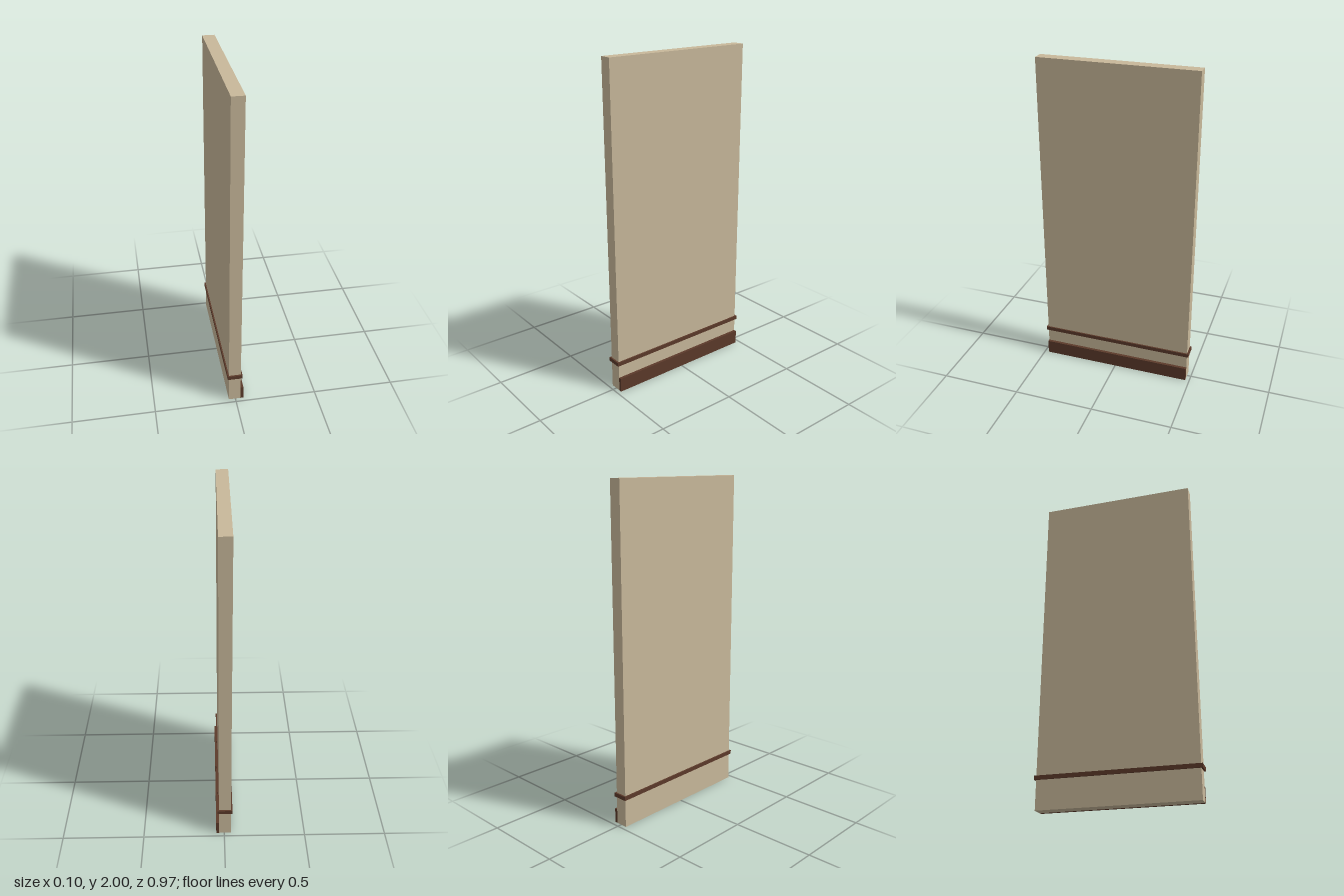
import * as THREE from 'three';

export function createModel() {
  const model = new THREE.Group();
  model.name = 'wallPanel';

  const plaster = new THREE.MeshStandardMaterial({ color: 0xc8b89a });
  plaster.name = 'beige plaster';
  const wood = new THREE.MeshStandardMaterial({ color: 0x5c3a2a });
  wood.name = 'dark brown wood';

  // Box given by its x and y limits and its half depth in z
  function block(name, material, x0, x1, y0, y1, halfZ) {
    const mesh = new THREE.Mesh(new THREE.BoxGeometry(x1 - x0, y1 - y0, halfZ * 2), material);
    mesh.position.set((x0 + x1) / 2, (y0 + y1) / 2, 0);
    mesh.name = name;
    model.add(mesh);
  }

  // Tall wall slab
  block('wall', plaster, -0.041, 0.032, 0, 2, 0.474);
  // Rail that wraps all four sides of the slab
  block('rail', wood, -0.05, 0.041, 0.173, 0.197, 0.484);
  // Skirting board on the +x face only
  block('skirtingBoard', wood, 0.032, 0.05, 0, 0.088, 0.474);

  return model;
}
